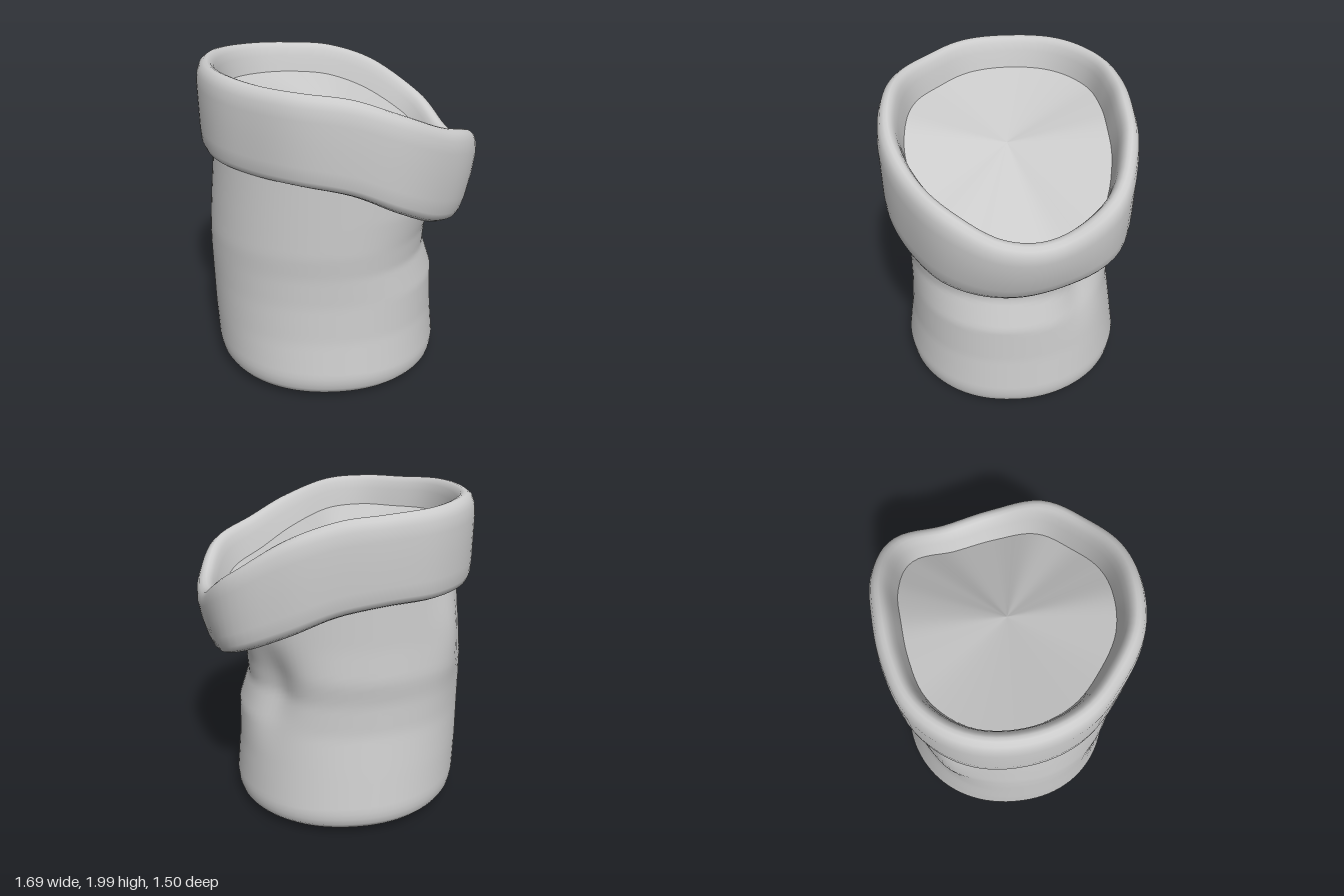
import * as THREE from 'three';

const SEG = 96;
const material = new THREE.MeshStandardMaterial({ color: 0xcccccc });
const lerp = THREE.MathUtils.lerp;

// Smooth value from a table wrapped round the circle (entry 0 at +x, turning towards +z)
function around(table, a) {
  const n = table.length;
  const t = ((a / (2 * Math.PI)) * n + n) % n;
  const i = Math.floor(t), f = t - i;
  const [p, q, r, s] = [-1, 0, 1, 2].map((k) => table[(i + k + n) % n]);
  return q + 0.5 * f * (r - p + f * (2 * p - 5 * q + 4 * r - s + f * (3 * (q - r) + s - p)));
}

// Smoothed bump: 1 at the centre, fading with distance
const bump = (d, width) => Math.exp(-(d * d) / (width * width));
const turn = (a, degrees) => {
  const d = a - THREE.MathUtils.degToRad(degrees);
  return Math.atan2(Math.sin(d), Math.cos(d));
};

// Skin closed rings of points; point(row, angle) returns [x, y, z]
function skin(name, rows, point) {
  const positions = [], index = [];
  for (let r = 0; r < rows; r++) {
    for (let s = 0; s < SEG; s++) positions.push(...point(r, (s / SEG) * 2 * Math.PI));
  }
  for (let r = 0; r < rows - 1; r++) {
    for (let s = 0; s < SEG; s++) {
      const a = r * SEG + s, b = r * SEG + ((s + 1) % SEG);
      index.push(a, a + SEG, b, b, a + SEG, b + SEG);
    }
  }
  const geometry = new THREE.BufferGeometry();
  geometry.setAttribute('position', new THREE.Float32BufferAttribute(positions, 3));
  geometry.setIndex(index);
  geometry.computeVertexNormals();
  const mesh = new THREE.Mesh(geometry, material);
  mesh.name = name;
  return mesh;
}

// Cuff outline: radius, rim height and lower edge height every 22.5 degrees
const cuffRadius = [0.84, 0.84, 0.79, 0.77, 0.75, 0.76, 0.77, 0.82, 0.85, 0.865, 0.83, 0.76, 0.74, 0.8, 0.88, 0.84];
const cuffTop = [1.48, 1.63, 1.72, 1.84, 1.94, 1.97, 1.98, 2, 2, 2, 1.98, 1.96, 1.93, 1.83, 1.63, 1.46];
const cuffBottom = [1.03, 1.07, 1.15, 1.28, 1.41, 1.46, 1.47, 1.48, 1.49, 1.48, 1.47, 1.46, 1.41, 1.3, 1.18, 1.07];

// Cuff cross-section: inset from the outline, fraction of the cuff height
const cuffSection = [
  [0.17, 0.1], [0.1, 0.03], [0.05, 0], [0.02, 0.03], [0.005, 0.1], [0, 0.25], [0, 0.5], [0, 0.75], [0.008, 0.88],
  [0.025, 0.96], [0.05, 0.995], [0.07, 1], [0.09, 0.985], [0.11, 0.93], [0.125, 0.84], [0.14, 0.72], [0.155, 0.6],
];
function cuffPoint(inset, f, a) {
  const r = around(cuffRadius, a) - inset;
  const lean = 0.1 * (1 - f) ** 2 * Math.max(0, Math.cos(a));
  const x = (r - lean) * Math.cos(a);
  return [x, lerp(around(cuffBottom, a), around(cuffTop, a), f), r * Math.sin(a)];
}

// Body extents by height: y, left edge, right edge, front, back
const bodyLevels = [
  [0, 0.74, 0.55, 0.61, 0.64], [0.03, 0.79, 0.61, 0.665, 0.71], [0.07, 0.815, 0.63, 0.69, 0.745],
  [0.14, 0.828, 0.635, 0.7, 0.755], [0.4, 0.835, 0.61, 0.665, 0.715], [0.65, 0.835, 0.6, 0.65, 0.675],
  [0.85, 0.835, 0.535, 0.65, 0.67], [1, 0.83, 0.545, 0.66, 0.685], [1.2, 0.81, 0.61, 0.66, 0.67],
  [1.6, 0.765, 0.62, 0.66, 0.66],
];
function bodyExtents(y) {
  let i = 0;
  while (i < bodyLevels.length - 2 && y > bodyLevels[i + 1][0]) i++;
  const p = bodyLevels[i], q = bodyLevels[i + 1];
  const f = Math.min(1, (y - p[0]) / (q[0] - p[0]));
  return p.map((v, k) => lerp(v, q[k], f));
}
function bodyPoint(t, a, scale = 1) {
  const y = t * (around(cuffBottom, a) + 0.1);
  const [, minX, maxX, front, back] = bodyExtents(y);
  const c = Math.cos(a), s = Math.sin(a);
  // Pinched crease at the back of the bent side, and a soft fold at the other back corner
  const crease = -0.09 * bump(turn(a, -46), 0.24) * bump(y - 0.9, 0.27);
  const fold = 0.06 * bump(turn(a, 218), 0.2) * bump(y - 1.25, 0.3);
  const k = scale * (1 + crease + fold);
  const square = (v) => Math.sign(v) * Math.abs(v) ** 0.94;
  const x = -0.1 + k * square(c) * (c > 0 ? maxX + 0.1 : minX - 0.1);
  const z = k * square(s) * (s > 0 ? front : back);
  return [x, y + (0.028 - 0.028 * x) * Math.max(0, 1 - y), z];
}

export function createModel() {
  const group = new THREE.Group();
  group.name = 'sack';

  // Slumped cloth body, starting at the centre of its base
  const steps = [0, 0.01, 0.02, 0.035, 0.05, 0.075, 0.1];
  for (let i = 1; i <= 36; i++) steps.push(0.1 + (0.9 * i) / 36);
  group.add(skin('body', steps.length + 2, (r, a) =>
    r < 2 ? bodyPoint(0, a, [0, 0.96][r]) : bodyPoint(steps[r - 2], a)));

  // Rolled cuff
  group.add(skin('rolledCuff', cuffSection.length, (r, a) => cuffPoint(...cuffSection[r], a)));

  // Contents filling the opening, sloping with the rim
  const rings = 10;
  group.add(skin('filling', rings + 1, (r, a) => {
    const k = 1 - r / rings;
    const [x, y, z] = cuffPoint(0.145, 0.64, a);
    return [x * k, lerp(1.64, y, k), z * k];
  }));
  return group;
}
